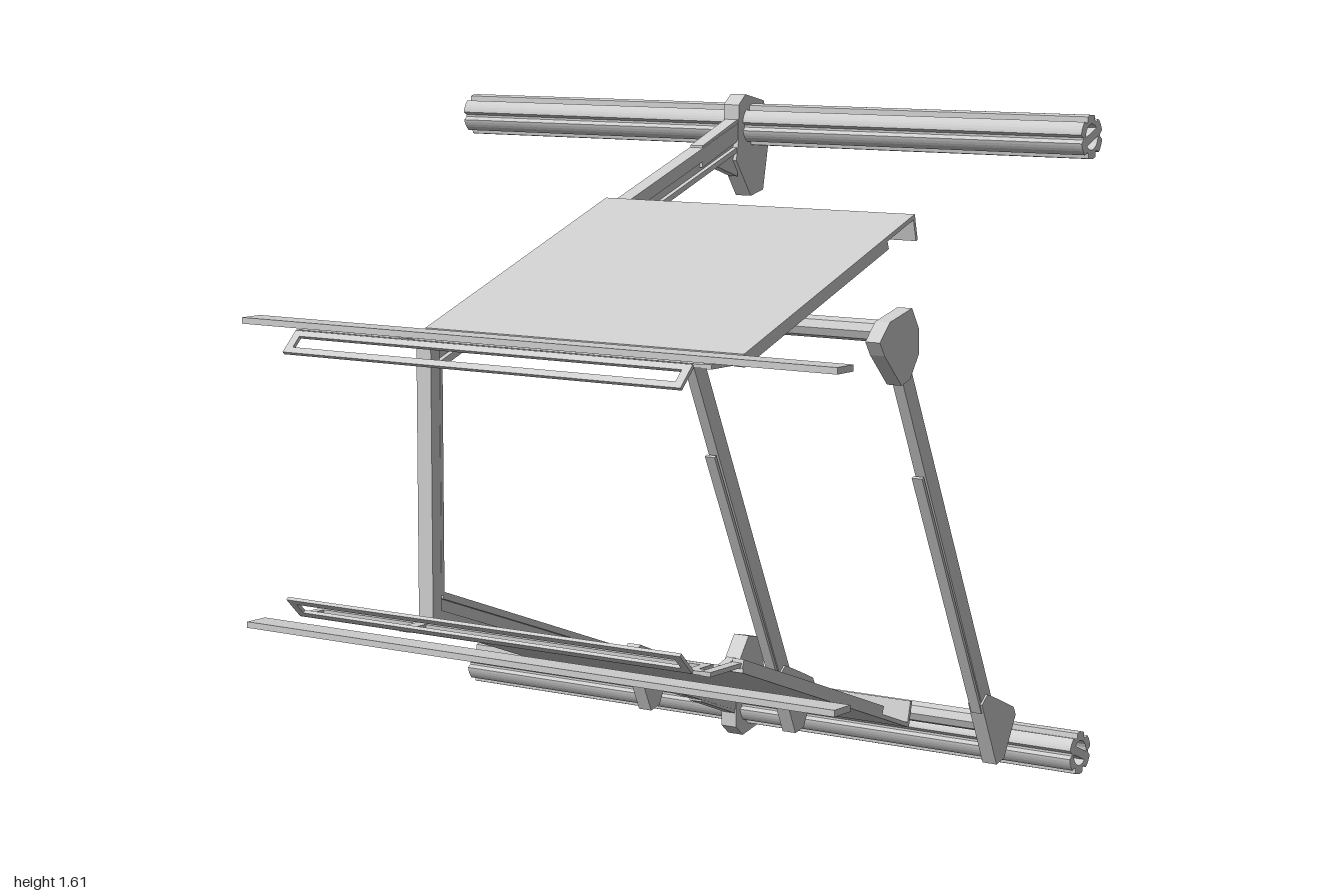
import * as THREE from 'three';

const H = 1.615; // the upper and lower halves mirror about y = H / 2
const FZ = -0.155; // plane of the side frame

export function createModel() {
  const model = new THREE.Group();
  const mat = new THREE.MeshStandardMaterial({ color: 0xcccccc, flatShading: true, side: THREE.DoubleSide });
  const vec = (pts, low) => pts.map(([x, y]) => new THREE.Vector2(x, low ? H - y : y));

  // Extrudes an x-y outline between two depths; low mirrors it to the lower half
  function prism(parent, name, pts, z0, z1, low = false, holes = []) {
    const shape = new THREE.Shape(vec(pts, low));
    holes.forEach(h => shape.holes.push(new THREE.Path(vec(h, low))));
    const geo = new THREE.ExtrudeGeometry(shape, { depth: z1 - z0, bevelEnabled: false });
    geo.translate(0, 0, z0);
    const mesh = new THREE.Mesh(geo, mat);
    mesh.name = name;
    parent.add(mesh);
    return mesh;
  }
  // Straight bar of thickness t from a to b
  function bar(parent, name, a, b, t, z0, z1, low = false) {
    const d = Math.hypot(b[0] - a[0], b[1] - a[1]);
    const nx = -(b[1] - a[1]) / d * t / 2, ny = (b[0] - a[0]) / d * t / 2;
    return prism(parent, name, [[a[0] + nx, a[1] + ny], [b[0] + nx, b[1] + ny],
      [b[0] - nx, b[1] - ny], [a[0] - nx, a[1] - ny]], z0, z1, low);
  }
  const ring = (cx, cy, n, r) => Array.from({ length: n }, (_, i) => {
    const a = i / n * Math.PI * 2;
    const rad = typeof r === 'function' ? r(i) : r;
    return [cx + Math.cos(a) * rad, cy + Math.sin(a) * rad];
  });
  const lerp = (a, b, t) => [a[0] + (b[0] - a[0]) * t, a[1] + (b[1] - a[1]) * t];

  // Rectangular window frame lying along the line a-b
  function windowFrame(parent, name, a, b, z0, z1) {
    return low => {
      const t = 0.008, w = 0.02;
      bar(parent, name, a, lerp(a, b, 0.25), t, z0, z1, low);
      bar(parent, name, lerp(a, b, 0.75), b, t, z0, z1, low);
      bar(parent, name, a, b, t, z0, z0 + w, low);
      bar(parent, name, a, b, t, z1 - w, z1, low);
    };
  }

  for (const low of [false, true]) {
    const half = new THREE.Group();
    half.name = low ? 'lowerArm' : 'upperArm';
    model.add(half);

    // Channel beam: outer flange, thin web, inner flange
    prism(half, 'beamOuterFlange', [[-0.605, 1.12], [0.6, 1.54], [0.6, 1.508], [-0.575, 1.098]], FZ - 0.02, FZ + 0.02, low);
    prism(half, 'beamWeb', [[-0.58, 1.1], [0.6, 1.51], [0.6, 1.48], [-0.57, 1.07]], FZ - 0.008, FZ + 0.008, low);
    prism(half, 'beamInnerFlange', [[-0.57, 1.073], [0.6, 1.483], [0.6, 1.47], [-0.565, 1.058]], FZ - 0.02, FZ + 0.02, low);
    prism(half, 'beamSleeve', [[0.45, 1.493], [0.61, 1.553], [0.61, 1.5], [0.45, 1.44]], FZ - 0.018, FZ + 0.018, low);
    prism(half, 'gusset', [[0.5, 1.445], [0.61, 1.485], [0.61, 1.41]], FZ - 0.012, FZ + 0.012, low);

    // End plate and the long fluted roller it carries
    const cx = 0.668, cy = 1.535;
    prism(half, 'endPlate', [[0.6, 1.585], [0.63, 1.61], [0.71, 1.592], [0.74, 1.525], [0.71, 1.372],
      [0.655, 1.36], [0.59, 1.45], [0.6, 1.5]], FZ - 0.022, FZ + 0.022, low, [ring(cx, cy, 16, 0.042)]);
    const flutes = ring(cx, cy, 48, i => (i % 8 < 2 ? 0.04 : 0.051));
    const moon = s => Array.from({ length: 9 }, (_, i) => {
      const a = 0.35 + s + i / 8 * (Math.PI - 0.7);
      return [cx + Math.cos(a) * 0.03, cy + Math.sin(a) * 0.03];
    });
    prism(half, 'roller', flutes, -1, 0.8, low, [moon(0.4), moon(0.4 + Math.PI)]);

    // Sloping panel with its turned-down lip and side rail
    bar(half, 'panel', [-0.565, 1.138], [0.113, 1.382], 0.01, -0.18, 0.66, low);
    bar(half, 'panelLip', [0.108, 1.384], [0.122, 1.328], 0.008, -0.18, 0.66, low);
    bar(half, 'panelRail', [-0.565, 1.124], [0, 1.327], 0.02, 0.632, 0.66, low);
    bar(half, 'panelRail', [-0.565, 1.124], [0, 1.327], 0.02, FZ - 0.02, FZ + 0.01, low);

    // Bent bracket with slotted faces, and the loose strip beyond it
    const top = [-0.605, 1.127], bend = [-0.68, 1.127], tip = [-0.725, 1.083];
    windowFrame(half, 'bracketFlat', top, bend, -0.455, 0.612)(low);
    windowFrame(half, 'bracketSlope', bend, tip, -0.455, 0.612)(low);
    bar(half, 'bracketArm', [-0.56, 1.127], bend, 0.01, 0.632, 0.656, low);
    bar(half, 'bracketArm', [-0.56, 1.127], bend, 0.01, FZ - 0.015, FZ + 0.015, low);
    bar(half, 'bracketTie', lerp(top, bend, 0.7), bend, 0.008, 0.61, 0.656, low);
    bar(half, 'edgeStrip', [-0.748, 1.151], [-0.688, 1.151], 0.014, -0.555, 1, low);
  }

  // Upright joining both beams
  prism(model, 'uprightOuterFlange', [[-0.605, 0.495], [-0.575, 0.517], [-0.575, 1.098], [-0.605, 1.12]], FZ - 0.02, FZ + 0.02);
  bar(model, 'uprightWeb', [-0.572, 0.53], [-0.572, 1.085], 0.02, FZ - 0.008, FZ + 0.008);
  bar(model, 'uprightInnerFlange', [-0.569, 0.55], [-0.569, 1.065], 0.01, FZ - 0.02, FZ + 0.02);

  // Cross rods carrying the knuckles
  const rods = { upperRod: [-0.197, 1.163], lowerRod: [0.238, 0.235] };
  for (const [name, [x, y]] of Object.entries(rods)) {
    prism(model, name, ring(x, y, 8, 0.024), FZ, 0.8);
  }

  // Knuckles on both rods, slanting struts between the outer two pairs
  const upperKnuckle = [[-0.29, 1.15], [-0.27, 1.12], [-0.2, 1.05], [-0.165, 1.06], [-0.13, 1.11],
    [-0.13, 1.165], [-0.16, 1.212], [-0.25, 1.19]];
  const lowerKnuckle = [[0.165, 0.29], [0.235, 0.14], [0.27, 0.148], [0.32, 0.24], [0.31, 0.26],
    [0.24, 0.29], [0.19, 0.31]];
  for (const z of [FZ, 0.26, 0.8]) {
    prism(model, 'upperKnuckle', upperKnuckle, z - 0.018, z + 0.018);
    prism(model, 'lowerKnuckle', lowerKnuckle, z - 0.018, z + 0.018);
    if (z === FZ) continue;
    bar(model, 'strut', [-0.19, 1.11], [0.22, 0.24], 0.042, z - 0.013, z + 0.013);
    bar(model, 'strutBacking', [-0.098, 0.838], [0.175, 0.27], 0.008, z - 0.013, z + 0.013);
  }
  return model;
}
